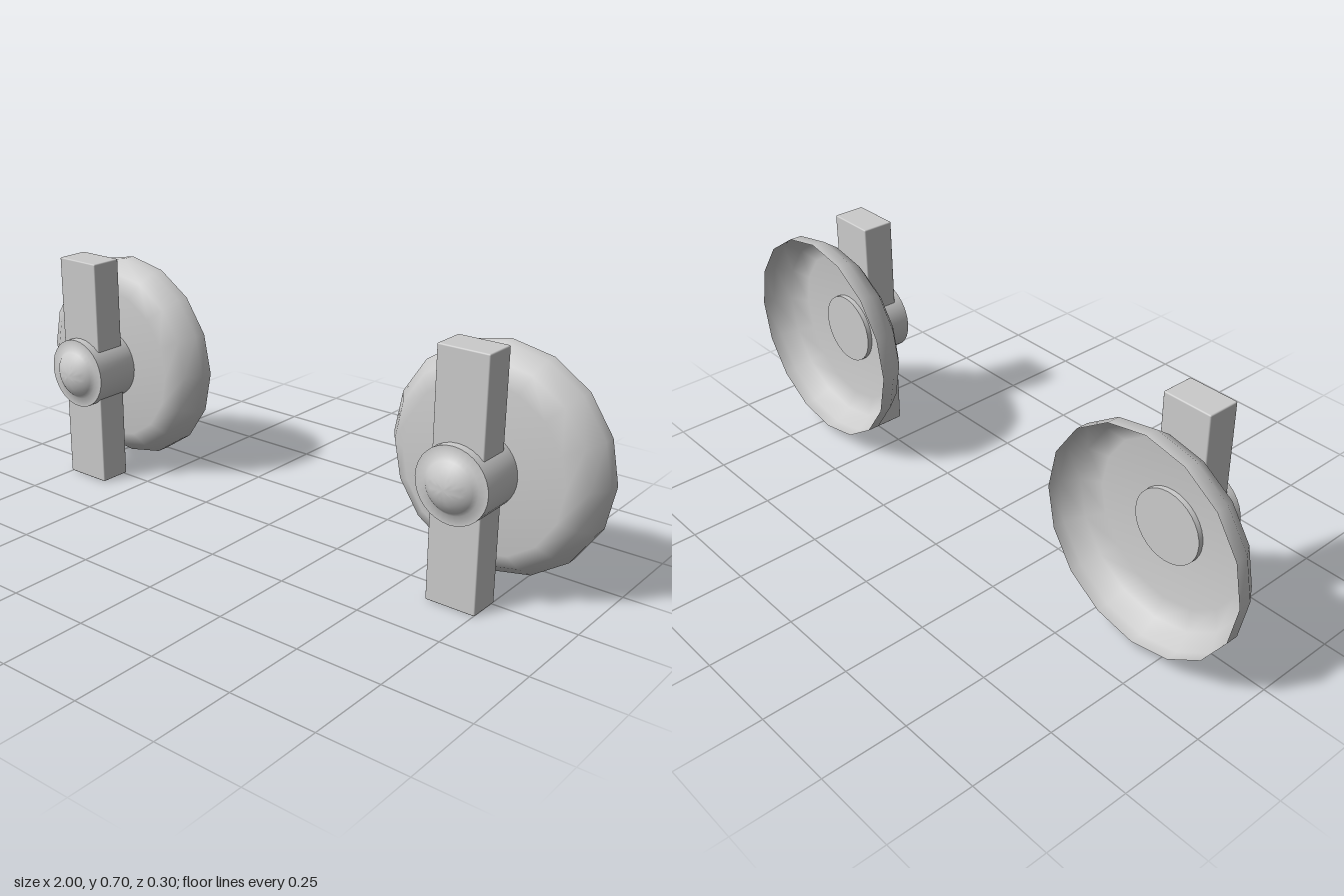
import * as THREE from 'three';
import { toCreasedNormals } from 'three/addons/utils/BufferGeometryUtils.js';
import { RoundedBoxGeometry } from 'three/addons/geometries/RoundedBoxGeometry.js';

const material = new THREE.MeshStandardMaterial({ color: 0xcccccc });
const thinMaterial = new THREE.MeshStandardMaterial({ color: 0xcccccc, side: THREE.DoubleSide });

// Turns a profile of [radius, z] points around the z axis
function turned(profile, sides) {
  const points = profile.map(([r, z]) => new THREE.Vector2(r, z));
  return new THREE.LatheGeometry(points, sides).rotateX(Math.PI / 2);
}

function part(name, geometry, mat = material) {
  const mesh = new THREE.Mesh(geometry, mat);
  mesh.name = name;
  return mesh;
}

function createUnit(name) {
  const unit = new THREE.Group();
  unit.name = name;

  // Thin, open-backed bowl
  const dish = turned([[0.322, -0.148], [0.322, -0.11], [0.288, -0.063], [0.24, -0.03], [0, -0.03]], 16);
  unit.add(part('dish', dish, thinMaterial));

  // Barrel with a domed cap, reaching just through the dish floor
  const profile = [[0, -0.045], [0.107, -0.045], [0.107, 0.113], [0.08, 0.113]];
  const capRadius = 0.105;
  const capAngle = Math.asin(0.08 / capRadius);
  for (let i = 1; i <= 6; i++) {
    const a = capAngle * (1 - i / 6);
    profile.push([capRadius * Math.sin(a), 0.045 + capRadius * Math.cos(a)]);
  }
  unit.add(part('hub', toCreasedNormals(turned(profile, 32), 0.95)));

  // Upright bar through the hub
  const bar = part('bar', new RoundedBoxGeometry(0.15, 0.705, 0.098, 2, 0.004));
  bar.position.z = 0.04;
  unit.add(bar);
  return unit;
}

export function createModel() {
  const model = new THREE.Group();
  model.name = 'dishPair';
  for (const [name, side] of [['leftUnit', 1], ['rightUnit', -1]]) {
    const unit = createUnit(name);
    unit.position.set(side * 0.678, 0.3525, 0);
    model.add(unit);
  }
  return model;
}
